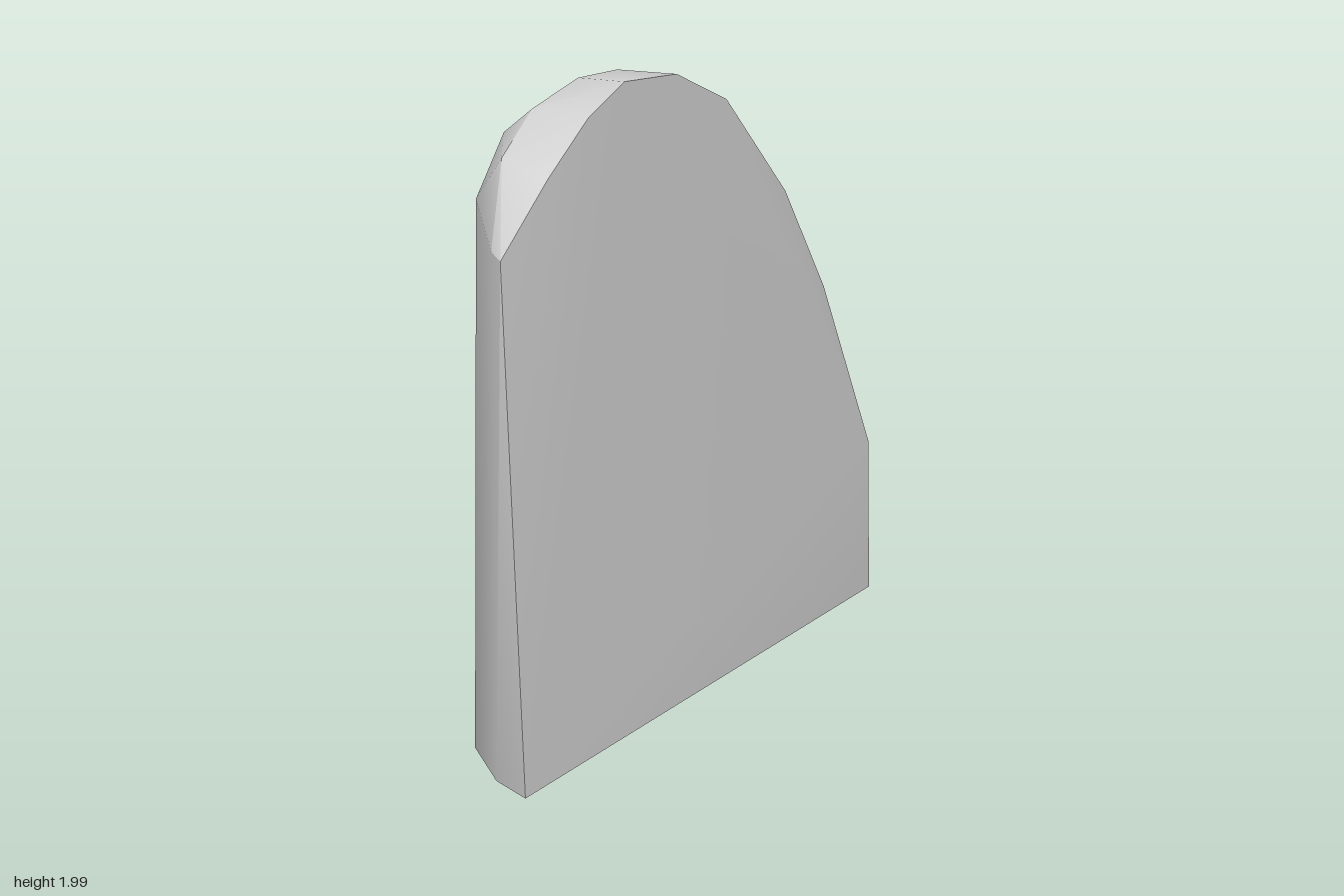
import * as THREE from 'three';
import { ConvexGeometry } from 'three/addons/geometries/ConvexGeometry.js';
import { toCreasedNormals } from 'three/addons/utils/BufferGeometryUtils.js';

export function createModel() {
  const group = new THREE.Group();
  const grey = new THREE.MeshStandardMaterial({ color: 0xcccccc });
  grey.name = 'plain grey';

  // Cross-sections of the convex wedge, each point as [x, y, z]
  const base = [
    [0.265, -1], [-0.01, -0.8], [-0.12, -0.66], [-0.225, -0.39], [-0.265, 0.04],
    [-0.225, 0.54], [-0.14, 0.75], [-0.06, 0.85], [0.13, 0.97], [0.265, 1],
  ].map(([x, z]) => [x, 0, z]);

  // Upper edge of the flat side
  const flatEdge = [
    [0.265, 0.58, -0.96], [0.17, 1.18, -0.77], [0.17, 1.55, -0.5], [0.17, 1.88, -0.14],
    [0.17, 1.975, 0.13], [0.17, 1.97, 0.39], [0.17, 1.88, 0.56], [0.17, 1.73, 0.74], [0.165, 1.53, 0.94],
  ];

  // Top rim of the tapering curved wall
  const wallRim = [
    [0.135, 1.01, -0.85], [0.02, 1.26, -0.735], [-0.1, 1.4, -0.59], [-0.18, 1.58, -0.32],
    [-0.187, 1.72, 0], [-0.18, 1.79, 0.3], [-0.14, 1.73, 0.6], [-0.06, 1.66, 0.78], [0.12, 1.55, 0.925],
  ];

  // Rounded crown: a shoulder row and a ridge row
  const shoulder = [
    [-0.08, 1.57, -0.45], [-0.13, 1.77, -0.16], [-0.15, 1.89, 0.18], [-0.14, 1.87, 0.38],
    [-0.09, 1.955, 0.22], [-0.09, 1.83, 0.62],
  ];
  const ridge = [
    [0.07, 1.43, -0.63], [0.03, 1.71, -0.36], [0, 1.885, -0.14], [0, 1.985, 0.2],
    [0, 1.973, 0.39], [0, 1.9, 0.6], [0.03, 1.78, 0.77],
  ];

  const points = [...base, ...flatEdge, ...wallRim, ...shoulder, ...ridge]
    .map((p) => new THREE.Vector3(...p));
  const body = new THREE.Mesh(toCreasedNormals(new ConvexGeometry(points), 0.6), grey);
  body.name = 'roundedWedge';
  group.add(body);
  return group;
}
